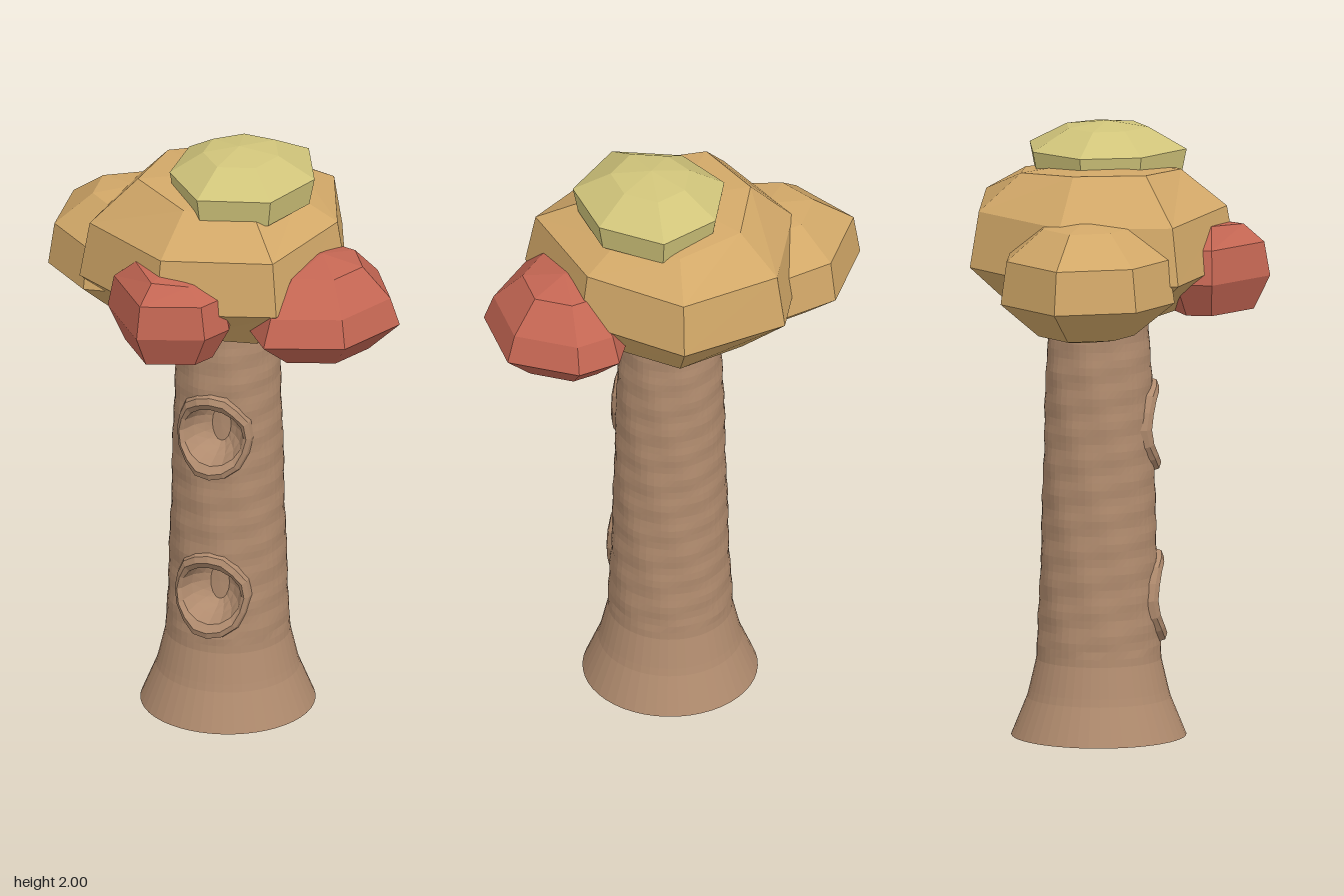
import * as THREE from 'three';

const bark = new THREE.MeshStandardMaterial({ color: 0xb08b6e });
bark.name = 'bark brown';
const tan = new THREE.MeshStandardMaterial({ color: 0xd2a868 });
tan.name = 'foliage tan';
const red = new THREE.MeshStandardMaterial({ color: 0xc46653 });
red.name = 'foliage red';
const yellow = new THREE.MeshStandardMaterial({ color: 0xd0c47a });
yellow.name = 'foliage yellow';

// Faceted skin over a stack of closed rings; collapsed triangles are dropped.
function loft(rings, keep = () => true) {
  const pos = [];
  const n = rings[0].length;
  const tri = (a, b, c) => {
    const area = b.clone().sub(a).cross(c.clone().sub(a)).length();
    const mid = a.clone().add(b).add(c).divideScalar(3);
    if (area > 1e-8 && keep(mid)) for (const p of [a, b, c]) pos.push(p.x, p.y, p.z);
  };
  for (let i = 0; i < rings.length - 1; i++) {
    for (let j = 0; j < n; j++) {
      const k = (j + 1) % n;
      tri(rings[i][j], rings[i + 1][j], rings[i][k]);
      tri(rings[i][k], rings[i + 1][j], rings[i + 1][k]);
    }
  }
  const g = new THREE.BufferGeometry();
  g.setAttribute('position', new THREE.Float32BufferAttribute(pos, 3));
  g.computeVertexNormals();
  return g;
}

function mesh(name, geometry, material) {
  const m = new THREE.Mesh(geometry, material);
  m.name = name;
  return m;
}

// Foliage clump: plan outline [x, z] scaled about a centre; rings are [y, scale, tilt].
function clump(name, material, [cx, cz], outline, rings) {
  return mesh(name, loft(rings.map(([y, s, tilt = 0]) => outline.map(([x, z]) => {
    const dx = (x - cx) * s;
    return new THREE.Vector3(cx + dx, y + tilt * dx, cz + (z - cz) * s);
  }))), material);
}

// Trunk radius by height
const TRUNK_Z = -0.055;
const PROFILE = [[0, 0.283], [0.13, 0.23], [0.25, 0.202], [0.45, 0.192], [0.7, 0.184],
  [1.0, 0.176], [1.2, 0.17], [1.45, 0.156], [1.6, 0.15]];
function radiusAt(y) {
  let i = 0;
  while (i < PROFILE.length - 2 && y > PROFILE[i + 1][0]) i++;
  const [y0, r0] = PROFILE[i], [y1, r1] = PROFILE[i + 1];
  return r0 + (r1 - r0) * (y - y0) / (y1 - y0);
}

const KNOTS = [0.45, 1.01];

function trunk() {
  const ring = (y, s) => Array.from({ length: 48 }, (_, j) => {
    const a = j / 48 * Math.PI * 2;
    const bump = y > 0.28 ? 0.003 * Math.sin(a * 5 + y * 23) * Math.sin(y * 41 - a * 3) : 0;
    const r = (radiusAt(y) + bump) * s;
    return new THREE.Vector3(Math.cos(a) * r, y, TRUNK_Z + Math.sin(a) * r);
  });
  const rings = [ring(0, 0)];
  for (let i = 0; i <= 64; i++) rings.push(ring(i * 0.025, 1));
  rings.push(ring(1.6, 0));
  // leave openings where the knot hollows sit
  const keep = (p) => p.z < 0 ||
    KNOTS.every((ky) => (p.x / 0.112) ** 2 + ((p.y - ky) / 0.13) ** 2 > 1);
  return mesh('trunk', loft(rings, keep), bark);
}

// Knot hole: raised rim and hollow bowl wrapped on the trunk; rows are [rx, ry, height].
function knot(cy, name) {
  const rows = [[0, 0, -0.11], [0.032, 0.06, -0.11], [0.055, 0.075, -0.09], [0.082, 0.088, -0.05],
    [0.102, 0.1, 0.006], [0.114, 0.125, 0.024], [0.126, 0.146, 0.017], [0.132, 0.158, -0.018]];
  return mesh(name, loft(rows.map(([rx, ry, h], i) => Array.from({ length: 16 }, (_, j) => {
    const a = j / 16 * Math.PI * 2;
    const wobble = i > 4 ? 1 + 0.02 * Math.sin(j * 2.4) : 1;
    const x = Math.cos(a) * rx * wobble, y = cy + Math.sin(a) * ry * wobble;
    const r = radiusAt(y);
    return new THREE.Vector3(x, y, TRUNK_Z + Math.sqrt(r * r - x * x) + h);
  }))), bark);
}

export function createModel() {
  const tree = new THREE.Group();
  tree.name = 'tree';
  tree.add(trunk(), knot(KNOTS[0], 'lowerKnot'), knot(KNOTS[1], 'upperKnot'));

  tree.add(clump('mainFoliage', tan, [-0.01, -0.06],
    [[-0.1, -0.49], [0.27, -0.41], [0.4, -0.06], [0.29, 0.32], [-0.1, 0.38], [-0.44, 0.14], [-0.4, -0.25]],
    [[1.4, 0], [1.4, 0.62], [1.56, 1, 0.06], [1.74, 0.93, 0.05], [1.85, 0.6, -0.08], [1.88, 0]]));

  tree.add(clump('rightFoliage', tan, [-0.34, -0.15],
    [[-0.62, -0.29], [-0.38, -0.43], [-0.15, -0.38], [-0.1, -0.1], [-0.2, 0.1], [-0.43, 0.13], [-0.6, -0.02]],
    [[1.34, 0], [1.37, 0.55], [1.48, 1], [1.62, 0.93], [1.72, 0.5], [1.74, 0]]));

  tree.add(clump('leftFoliage', red, [0.36, 0.06],
    [[0.62, 0.05], [0.51, 0.28], [0.26, 0.36], [0.14, 0.2], [0.16, -0.06], [0.36, -0.2], [0.5, -0.16]],
    [[1.34, 0], [1.38, 0.6], [1.48, 1], [1.57, 0.88], [1.67, 0.52], [1.7, 0]]));

  tree.add(clump('frontFoliage', red, [-0.08, 0.3],
    [[-0.3, 0.27], [-0.27, 0.16], [-0.1, 0.12], [0.1, 0.2], [0.13, 0.32], [0.08, 0.42], [-0.13, 0.485]],
    [[1.38, 0], [1.4, 0.72], [1.51, 1], [1.62, 0.9], [1.675, 0.55, -0.1], [1.69, 0]]));

  tree.add(clump('topFoliage', yellow, [0.05, -0.02],
    [[0, -0.27], [0.21, -0.25], [0.3, -0.04], [0.22, 0.17], [-0.01, 0.23], [-0.16, 0.06], [-0.16, -0.14]],
    [[1.82, 0], [1.82, 0.93], [1.91, 1], [1.98, 0.52], [2.0, 0]]));

  return tree;
}
